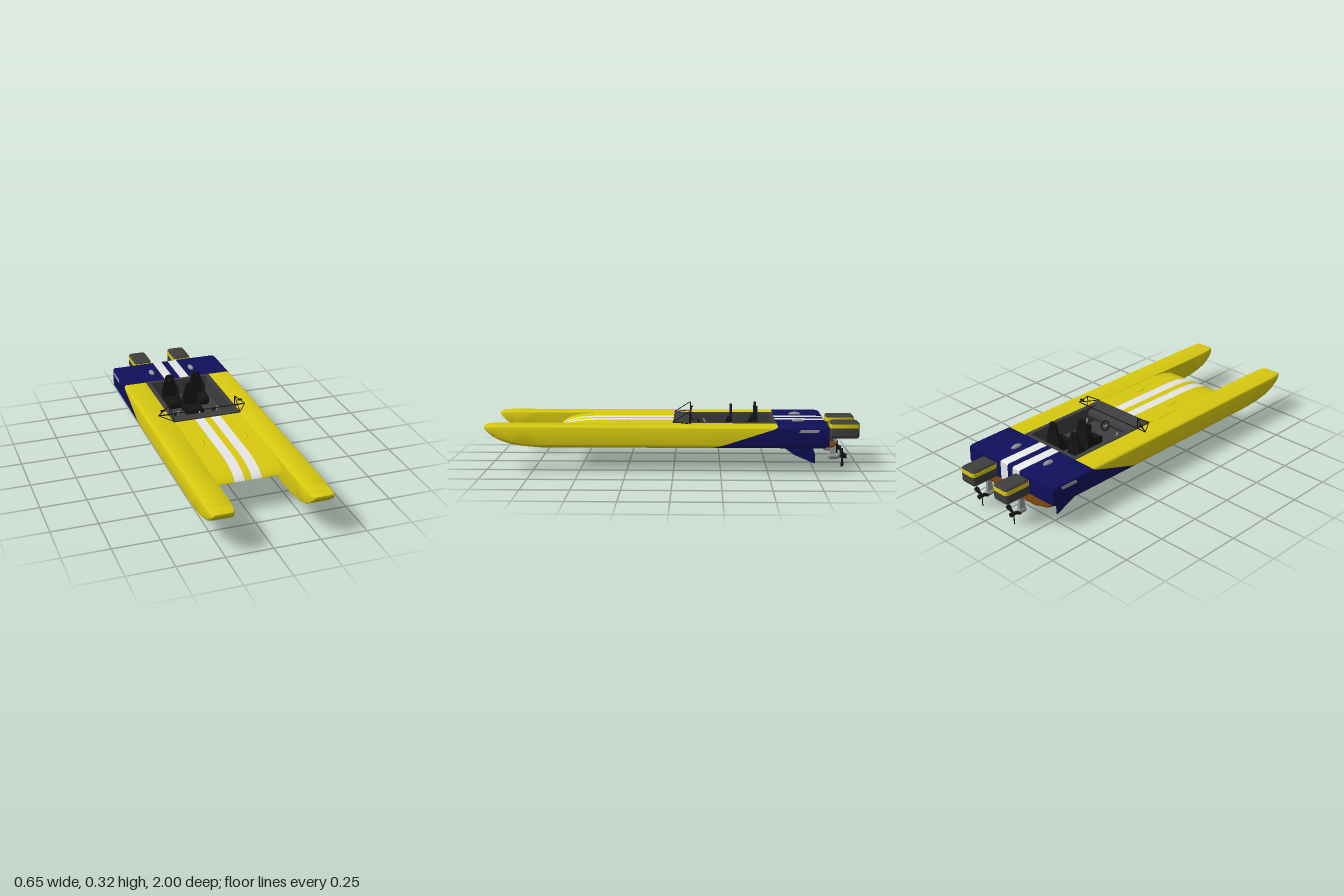
import * as THREE from 'three';
import { toCreasedNormals } from 'three/addons/utils/BufferGeometryUtils.js';
import { RoundedBoxGeometry } from 'three/addons/geometries/RoundedBoxGeometry.js';

const mat = (name, color) => {
  const m = new THREE.MeshStandardMaterial({ color, side: THREE.DoubleSide });
  m.name = name;
  return m;
};

export function createModel() {
  const yellow = mat('yellow', 0xd8ca10), navy = mat('navy', 0x10105c), white = mat('white', 0xeeeeee);
  const dark = mat('dark grey', 0x3e3e3e), black = mat('black', 0x141414);
  const grey = mat('grey', 0x969696), brown = mat('brown', 0x74400f);
  const model = new THREE.Group();
  model.name = 'catamaran';

  const add = (name, geo, material, parent = model) => {
    const m = new THREE.Mesh(geo, material);
    m.name = name;
    parent.add(m);
    return m;
  };
  const box = (name, w, h, d, x, y, z, material, parent) => {
    const m = add(name, new THREE.BoxGeometry(w, h, d), material, parent);
    m.position.set(x, y, z);
    return m;
  };
  const rod = (name, a, b, r, material, parent) => {
    const p = new THREE.Vector3(...a), q = new THREE.Vector3(...b);
    const m = add(name, new THREE.CylinderGeometry(r, r, p.distanceTo(q), 6), material, parent);
    m.position.copy(p).lerp(q, 0.5);
    m.quaternion.setFromUnitVectors(new THREE.Vector3(0, 1, 0), q.sub(p).normalize());
    return m;
  };
  const shapeOf = pts => new THREE.Shape(pts.map(p => new THREE.Vector2(...p)));
  // Side profile of (z, y) points, swept from x0 to x1
  const sweep = (name, pts, x0, x1, material, parent) => {
    const g = new THREE.ExtrudeGeometry(shapeOf(pts), { depth: x1 - x0, bevelEnabled: false });
    g.rotateY(-Math.PI / 2).translate(x1, 0, 0);
    return add(name, toCreasedNormals(g, 0.5), material, parent);
  };

  // Hull cross-section: rounded rectangle, softer on the outside
  const ring = (xi, xo, yb, yt) => {
    const pts = [], h = yt - yb;
    const corners = [[xi, yb, 0.006, 180], [xo, yb, 0.02, 270], [xo, yt, 0.014, 0], [xi, yt, 0.005, 90]];
    for (const [x, y, rad, start] of corners) {
      const r = Math.min(rad, h * 0.35);
      const cx = x === xi ? x + r : x - r, cy = y === yb ? y + r : y - r;
      for (let i = 0; i <= 4; i++) {
        const a = THREE.MathUtils.degToRad(start + i * 22.5);
        pts.push([cx + r * Math.cos(a), cy + r * Math.sin(a)]);
      }
    }
    return pts;
  };
  // Slanted colour division between the bow and the stern
  const division = y => -0.55 + 0.35 * Math.pow(THREE.MathUtils.clamp((0.247 - y) / 0.115, 0, 1), 1.3);
  const loft = (sections, side) => {
    const pos = [], idx = [], n = 20;
    for (const [z, xi, xo, yb, yt] of sections)
      for (const [x, y] of ring(xi, xo, yb, yt)) pos.push(side * x, y, z === null ? division(y) : z);
    const tri = (a, b, c) => (side > 0 ? idx.push(a, b, c) : idx.push(a, c, b));
    for (let s = 0; s < sections.length - 1; s++)
      for (let i = 0; i < n; i++) {
        const a = s * n + i, b = s * n + (i + 1) % n;
        tri(a, b, b + n);
        tri(a, b + n, a + n);
      }
    const last = (sections.length - 1) * n;
    for (let i = 1; i < n - 1; i++) {
      tri(0, i + 1, i);
      tri(last, last + i, last + i + 1);
    }
    const g = new THREE.BufferGeometry();
    g.setAttribute('position', new THREE.Float32BufferAttribute(pos, 3));
    g.setIndex(idx);
    return toCreasedNormals(g, 0.6);
  };
  const bow = [
    [null, 0.19, 0.325, 0.132, 0.247], [0.7, 0.19, 0.325, 0.132, 0.247], [0.78, 0.19, 0.325, 0.138, 0.247],
    [0.86, 0.191, 0.324, 0.15, 0.247], [0.92, 0.193, 0.323, 0.17, 0.247], [0.96, 0.196, 0.321, 0.193, 0.247],
    [0.985, 0.201, 0.317, 0.215, 0.246], [1, 0.212, 0.308, 0.235, 0.244],
  ];
  const stern = [
    [-0.82, 0.188, 0.319, 0.142, 0.243], [-0.8, 0.188, 0.323, 0.132, 0.247], [null, 0.188, 0.325, 0.132, 0.247],
  ];

  // Centre deck, cut lengthwise into coloured strips
  const foreDeck = [[0, 0.13], [0.5, 0.133], [0.59, 0.157], [0.64, 0.188], [0.632, 0.2], [0.6, 0.22],
    [0.53, 0.238], [0.45, 0.244], [0, 0.246]];
  const aftDeck = [[-0.82, 0.142], [-0.8, 0.13], [-0.27, 0.13], [-0.27, 0.145], [-0.548, 0.145],
    [-0.548, 0.248], [-0.81, 0.248], [-0.82, 0.243]];
  const cuts = [-0.19, -0.073, -0.019, 0.019, 0.073, 0.19];
  for (let i = 0; i < 5; i++) {
    const stripe = i % 2 === 1;
    sweep(stripe ? 'foreDeckStripe' : 'foreDeck', foreDeck, cuts[i], cuts[i + 1], stripe ? white : yellow);
    sweep(stripe ? 'aftDeckStripe' : 'aftDeck', aftDeck, cuts[i], cuts[i + 1], stripe ? white : navy);
  }

  // Cockpit tub and dashboard
  const cockpit = new THREE.Group();
  cockpit.name = 'cockpit';
  model.add(cockpit);
  box('cockpitFloor', 0.38, 0.008, 0.545, 0, 0.149, -0.2745, dark, cockpit);
  box('tunnelPanel', 0.38, 0.015, 0.27, 0, 0.1375, -0.135, dark, cockpit);
  box('rearBulkhead', 0.38, 0.1, 0.02, 0, 0.2, -0.537, dark, cockpit);
  sweep('dashboard', [[0.004, 0.155], [0.004, 0.252], [-0.02, 0.255], [-0.1, 0.228], [-0.105, 0.205], [-0.05, 0.155]],
    -0.19, 0.19, dark, cockpit);
  const wheel = add('steeringWheel', new THREE.TorusGeometry(0.026, 0.004, 8, 20), black, cockpit);
  wheel.position.set(0, 0.215, -0.14);
  wheel.rotation.x = 0.5;
  rod('steeringColumn', [0, 0.215, -0.14], [0, 0.205, -0.09], 0.005, grey, cockpit);

  // Seats with slotted backs
  const seat = (x, z) => {
    const g = new THREE.Group();
    g.name = 'seat';
    g.position.set(x, 0, z);
    cockpit.add(g);
    const half = [[0.048, 0.155], [0.047, 0.21], [0.041, 0.25], [0.031, 0.28], [0.023, 0.31], [0.018, 0.32], [0.012, 0.323]];
    const s = shapeOf([...half, ...half.map(([a, b]) => [-a, b]).reverse()]);
    for (const k of [-1, 1])
      s.holes.push(new THREE.Path([[0.004, 0.285], [0.011, 0.285], [0.009, 0.303], [0.004, 0.303]]
        .map(([a, b]) => new THREE.Vector2(k * a, b))));
    const back = new THREE.ExtrudeGeometry(s, { depth: 0.014, bevelEnabled: false });
    add('seatBack', back, black, g).position.z = -0.007;
    add('seatCushion', new RoundedBoxGeometry(0.094, 0.04, 0.11, 2, 0.012), black, g).position.set(0, 0.173, 0.055);
    for (const k of [-1, 1]) {
      sweep('seatBolster', [[0, 0.17], [0.1, 0.17], [0.1, 0.198], [0.035, 0.21], [0.015, 0.25], [0, 0.25]],
        k * 0.042 - 0.005, k * 0.042 + 0.005, black, g);
    }
  };
  seat(0, -0.31);
  seat(-0.08, -0.445);
  seat(0.08, -0.445);

  // Rounded plan outline for the engine cowl band
  const roundRect = (w, d, r) => {
    const s = new THREE.Shape();
    for (let i = 0; i < 4; i++) {
      const sx = i === 0 || i === 3 ? 1 : -1, sy = i < 2 ? 1 : -1;
      s.absarc(sx * (w / 2 - r), sy * (d / 2 - r), r, i * Math.PI / 2, (i + 1) * Math.PI / 2);
    }
    return s;
  };
  const blade = new THREE.ExtrudeGeometry(
    shapeOf([[-0.005, 0.006], [0.005, 0.006], [0.009, 0.025], [0.014, 0.045], [0.011, 0.057], [-0.009, 0.058], [-0.013, 0.045], [-0.008, 0.025]]),
    { depth: 0.004, bevelEnabled: false }).translate(0, 0, -0.002).rotateY(0.6);

  for (const side of [-1, 1]) {
    add('bowHull', loft(bow.slice(), side), yellow);
    add('sternHull', loft(stern, side), navy);

    // Stabiliser fins and pale side panels
    sweep('fin', [[-0.57, 0.14], [-0.64, 0.09], [-0.75, 0.043], [-0.752, 0.09], [-0.735, 0.14]],
      side * 0.265 - 0.0025, side * 0.265 + 0.0025, navy);
    sweep('sidePanel', [[-0.66, 0.217], [-0.76, 0.217], [-0.77, 0.234], [-0.67, 0.234]],
      side * 0.3245 - 0.002, side * 0.3245 + 0.002, grey);

    // Cockpit side wall, lever and underside step
    sweep('cockpitSide', [[-0.548, 0.15], [0, 0.15], [0, 0.25], [-0.548, 0.25]],
      side > 0 ? 0.168 : -0.193, side > 0 ? 0.193 : -0.168, dark, cockpit);
    box('leverBase', 0.026, 0.03, 0.07, side * 0.115, 0.17, -0.18, black, cockpit);
    rod('throttleLever', [side * 0.115, 0.18, -0.18], [side * 0.115, 0.225, -0.16], 0.005, grey, cockpit);
    box('undersidePad', 0.08, 0.006, 0.06, side * 0.08, 0.13, -0.31, black);

    // Deck vents
    for (const [z, y, m] of [[-0.67, 0.25, grey], [0.27, 0.245, yellow]]) {
      const v = add('deckVent', new THREE.SphereGeometry(1, 12, 8), m);
      v.scale.set(z < 0 ? 0.015 : 0.011, z < 0 ? 0.013 : 0.005, 0.034);
      v.position.set(side * 0.122, y, z);
    }

    // Mirror frames beside the dashboard
    const foot = [side * 0.19, 0.252, 0.005], out = [side * 0.253, 0.252, -0.09], top = [side * 0.19, 0.309, -0.085];
    const base = [side * 0.19, 0.25, -0.085];
    for (const [a, b] of [[foot, out], [foot, top], [out, top], [base, top], [base, out]])
      rod('mirrorFrame', a, b, 0.0022, black);
    rod('mirrorArm', out, [side * 0.225, 0.277, -0.095], 0.002, black);
    const mirror = add('mirror', new RoundedBoxGeometry(0.026, 0.008, 0.012, 2, 0.003), black);
    mirror.position.set(side * 0.225, 0.277, -0.095);

    // Outboard engine
    const engine = new THREE.Group();
    engine.name = 'outboardEngine';
    engine.position.set(side * 0.124, 0, 0);
    model.add(engine);
    add('cowl', new RoundedBoxGeometry(0.104, 0.092, 0.157, 3, 0.018), dark, engine).position.set(0, 0.206, -0.9195);
    const band = new THREE.ExtrudeGeometry(roundRect(0.107, 0.161, 0.02), { depth: 0.022, bevelEnabled: false });
    band.rotateX(-Math.PI / 2);
    add('cowlBand', toCreasedNormals(band, 0.6), yellow, engine).position.set(0, 0.217, -0.9195);
    box('mount', 0.04, 0.07, 0.05, 0, 0.18, -0.835, dark, engine);
    sweep('leg', [[-0.835, 0.165], [-0.885, 0.165], [-0.875, 0.12], [-0.88, 0.05], [-0.84, 0.05], [-0.85, 0.12]],
      -0.009, 0.009, grey, engine);
    const hub = add('gearCase', new THREE.CapsuleGeometry(0.016, 0.035, 4, 12).rotateX(Math.PI / 2), grey, engine);
    hub.position.set(0, 0.058, -0.866);
    add('propellerHub', new THREE.CylinderGeometry(0.013, 0.008, 0.04, 12).rotateX(-Math.PI / 2), black, engine)
      .position.set(0, 0.058, -0.914);
    for (let i = 0; i < 3; i++) {
      const b = add('propellerBlade', blade, black, engine);
      b.position.set(0, 0.058, -0.912);
      b.rotation.z = Math.PI + i * Math.PI * 2 / 3;
    }
  }
  rod('dashRail', [-0.253, 0.252, -0.09], [0.253, 0.252, -0.09], 0.0025, black);

  // Stern platform
  const plate = new THREE.ExtrudeGeometry(
    shapeOf([[-0.31, 0.815], [0.31, 0.815], [0.295, 0.838], [0.235, 0.866], [-0.235, 0.866], [-0.295, 0.838]]),
    { depth: 0.008, bevelEnabled: false }).rotateX(-Math.PI / 2);
  add('sternPlatform', plate, brown).position.y = 0.136;
  return model;
}
